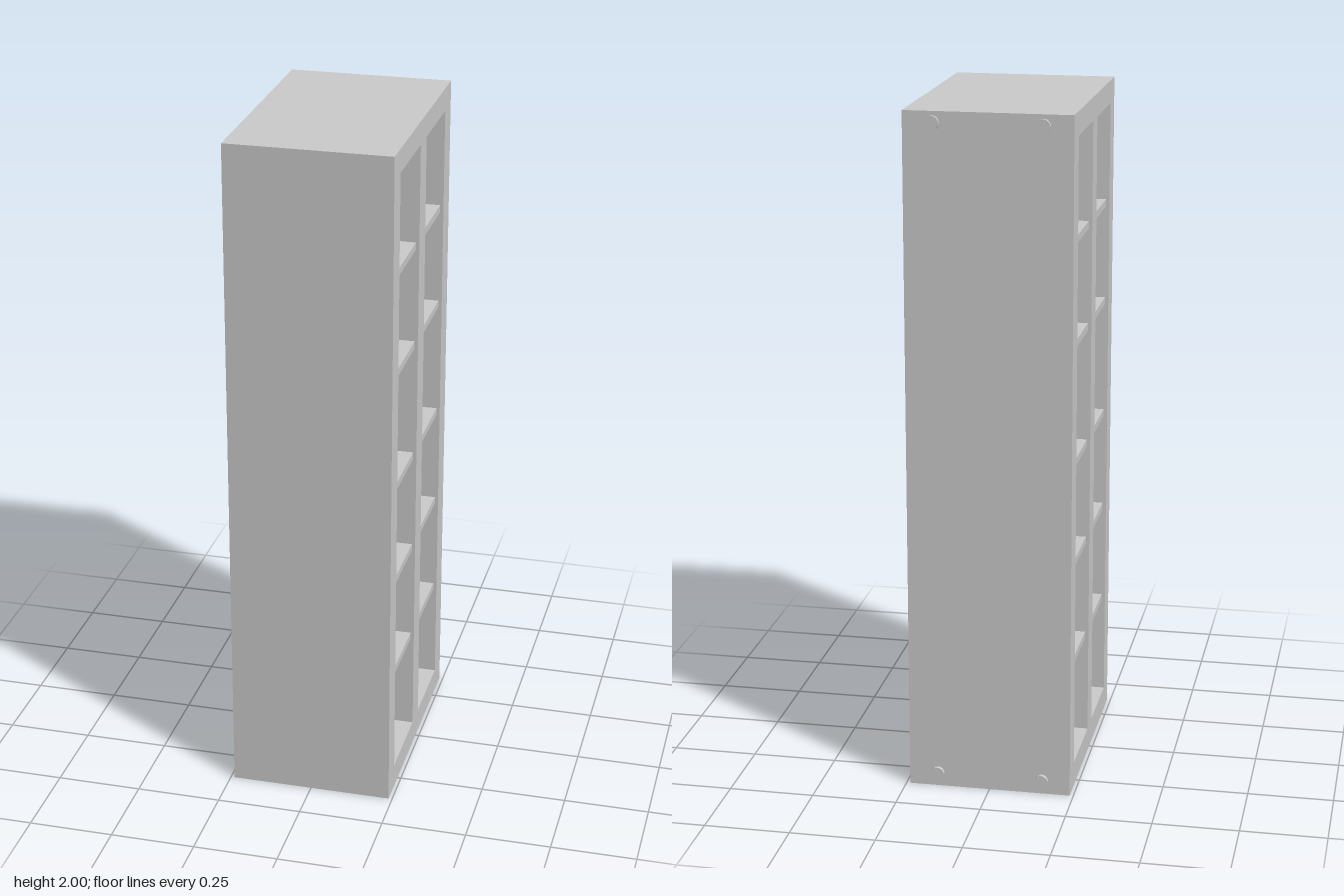
import * as THREE from 'three';

export function createModel() {
  const model = new THREE.Group();
  const material = new THREE.MeshStandardMaterial({ color: 0xcccccc });
  const add = (name, geometry, x, y, z) => {
    const mesh = new THREE.Mesh(geometry, material);
    mesh.name = name;
    mesh.position.set(x, y, z);
    model.add(mesh);
    return mesh;
  };

  const width = 0.478, height = 2;
  const back = -0.361, front = 0.368;
  const bays = [[-0.285, -0.033], [0.043, 0.295]]; // z range of each open bay
  const bayBottom = 0.072, bayTop = 1.932;

  // Closed rectangle path; drawn in (-z, y) and extruded across x
  const rect = (path, z0, z1, y0, y1) => {
    path.moveTo(-z1, y0);
    path.lineTo(-z0, y0);
    path.lineTo(-z0, y1);
    path.lineTo(-z1, y1);
    path.closePath();
    return path;
  };

  // Cabinet body with two tall bays open right through
  const profile = rect(new THREE.Shape(), back, front, 0, height);
  for (const [z0, z1] of bays) {
    profile.holes.push(rect(new THREE.Path(), z0, z1, bayBottom, bayTop));
  }
  const body = new THREE.ExtrudeGeometry(profile, { depth: width, bevelEnabled: false });
  body.translate(0, 0, -width / 2);
  body.rotateY(Math.PI / 2);
  add('cabinetBody', body, 0, 0, 0);

  // Shelves, set slightly back from both open sides
  for (const [z0, z1] of bays) {
    for (const y of [0.376, 0.678, 0.98, 1.332, 1.633]) {
      add('shelf', new THREE.BoxGeometry(width - 0.02, 0.022, z1 - z0), 0, y, (z0 + z1) / 2);
    }
  }

  // Round wall spacers at the corners of the back
  const spacer = new THREE.CylinderGeometry(0.02, 0.02, 0.011, 24);
  spacer.rotateX(Math.PI / 2);
  for (const x of [-0.155, 0.155]) {
    for (const y of [0.04, 1.968]) add('backSpacer', spacer, x, y, back - 0.0055);
  }

  return model;
}
